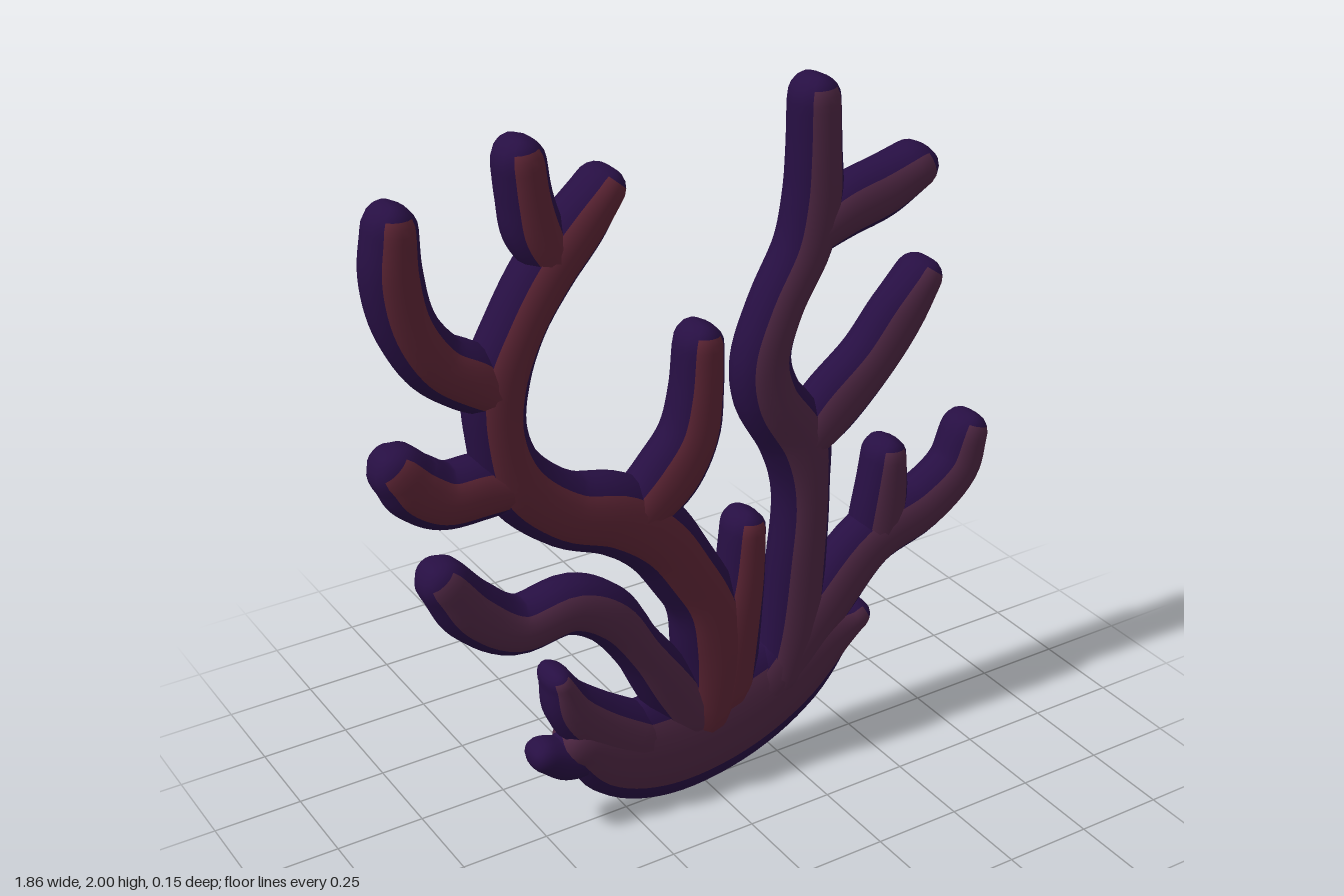
import * as THREE from 'three';

const paint = (name, color) => {
  const m = new THREE.MeshStandardMaterial({ color });
  m.name = name;
  return m;
};

// Half of the flattened cross-section: [across, depth] fractions
const QUARTER = [[1, 0], [0.93, 0.45], [0.64, 0.8], [0.35, 0.95], [0, 1]];
const SECTION = [];
for (let i = 0; i < 4; i++) SECTION.push(QUARTER[i]);
for (let i = 4; i > 0; i--) SECTION.push([-QUARTER[i][0], QUARTER[i][1]]);
for (let i = 0; i < 4; i++) SECTION.push([-QUARTER[i][0], -QUARTER[i][1]]);
for (let i = 4; i > 0; i--) SECTION.push([QUARTER[i][0], -QUARTER[i][1]]);
const SIDES = SECTION.length;
const isRim = (j) => Math.min(j % 8, 7 - (j % 8)) < 2;

// Sweeps the section along points [x, y, half width]; round caps at both ends.
// Group 0 is the broad face, group 1 the rim and the tip.
function branchGeometry(points, depth) {
  const curve = new THREE.CatmullRomCurve3(points.map((p) => new THREE.Vector3(...p)), false, 'centripetal');
  const steps = (points.length - 1) * 6;
  const rings = [];
  const addRing = (t, capAngle, direction) => {
    const p = curve.getPoint(t);
    const tan = curve.getTangent(t).setZ(0).normalize();
    const c = Math.max(0, Math.cos(capAngle));
    const push = Math.sin(capAngle) * p.z * direction;
    rings.push({
      x: p.x + tan.x * push, y: p.y + tan.y * push, nx: -tan.y, ny: tan.x,
      w: p.z * c, d: depth * Math.sqrt(c), tip: direction > 0 && capAngle > 0.4,
    });
  };
  const caps = [18, 36, 54, 72, 83, 90].map((a) => a * Math.PI / 180);
  [...caps].reverse().forEach((a) => addRing(0, a, -1));
  for (let i = 0; i <= steps; i++) addRing(i / steps, 0, 0);
  caps.forEach((a) => addRing(1, a, 1));

  const position = [];
  for (const r of rings) {
    for (const [u, v] of SECTION) position.push(r.x + r.nx * u * r.w, r.y + r.ny * u * r.w, v * r.d);
  }
  const face = [], rim = [];
  for (let i = 0; i < rings.length - 1; i++) {
    for (let j = 0; j < SIDES; j++) {
      const k = (j + 1) % SIDES;
      const a = i * SIDES + j, b = i * SIDES + k;
      const target = rings[i].tip || isRim(j) ? rim : face;
      target.push(a, b, a + SIDES, b, b + SIDES, a + SIDES);
    }
  }
  const g = new THREE.BufferGeometry();
  g.setAttribute('position', new THREE.Float32BufferAttribute(position, 3));
  g.setIndex([...face, ...rim]);
  g.addGroup(0, face.length, 0);
  g.addGroup(face.length, rim.length, 1);
  g.computeVertexNormals();
  return g;
}

export function createModel() {
  const red = paint('coralRed', 0x5c2434);
  const mauve = paint('coralMauve', 0x4d2642);
  const purple = paint('rimPurple', 0x270f43);
  const group = new THREE.Group();
  group.name = 'fanCoral';

  const add = (name, face, depth, points) => {
    const mesh = new THREE.Mesh(branchGeometry(points, depth), [face, purple]);
    mesh.name = name;
    group.add(mesh);
  };

  // Curved foot
  add('base', mauve, 0.068, [[-0.38, 0.27, 0.08], [-0.27, 0.2, 0.14], [-0.12, 0.17, 0.17],
    [0.08, 0.19, 0.17], [0.26, 0.26, 0.15], [0.4, 0.35, 0.1], [0.48, 0.385, 0.055]]);
  add('baseFrill', purple, 0.055, [[-0.36, 0.22, 0.06], [-0.43, 0.23, 0.06], [-0.495, 0.265, 0.048]]);

  // Trunk and the branches on its right-hand side
  add('trunk', red, 0.074, [[0, 0.25, 0.1], [0.02, 0.36, 0.11], [0.02, 0.48, 0.115], [-0.01, 0.6, 0.1],
    [-0.07, 0.71, 0.1], [-0.15, 0.83, 0.105], [-0.27, 0.93, 0.112], [-0.42, 0.99, 0.1],
    [-0.55, 1.11, 0.09], [-0.595, 1.25, 0.075], [-0.59, 1.39, 0.082], [-0.53, 1.53, 0.075],
    [-0.45, 1.65, 0.078], [-0.36, 1.75, 0.075], [-0.295, 1.825, 0.06]]);
  add('trunkNub', red, 0.07, [[0.06, 0.3, 0.1], [0.09, 0.48, 0.085], [0.115, 0.63, 0.068], [0.125, 0.77, 0.058]]);
  add('innerBranch', red, 0.072, [[-0.22, 0.91, 0.08], [-0.11, 1.0, 0.095], [-0.045, 1.1, 0.083],
    [-0.022, 1.22, 0.07], [-0.015, 1.345, 0.063]]);
  add('topBranch', red, 0.072, [[-0.43, 1.67, 0.06], [-0.475, 1.76, 0.072], [-0.495, 1.85, 0.065], [-0.505, 1.937, 0.062]]);
  add('outerUpperBranch', red, 0.072, [[-0.59, 1.36, 0.06], [-0.66, 1.42, 0.085], [-0.75, 1.485, 0.08],
    [-0.82, 1.6, 0.075], [-0.845, 1.73, 0.073], [-0.84, 1.84, 0.063]]);
  add('outerLowerBranch', red, 0.07, [[-0.55, 1.11, 0.07], [-0.65, 1.12, 0.085], [-0.75, 1.125, 0.085],
    [-0.82, 1.17, 0.085], [-0.86, 1.22, 0.073]]);

  // Low branches on the right-hand side
  add('lowBranch', mauve, 0.07, [[-0.05, 0.25, 0.09], [-0.13, 0.38, 0.085], [-0.21, 0.51, 0.07], [-0.3, 0.64, 0.08],
    [-0.41, 0.705, 0.08], [-0.57, 0.695, 0.078], [-0.69, 0.78, 0.082], [-0.76, 0.88, 0.068]]);
  add('shortBranch', mauve, 0.068, [[-0.22, 0.22, 0.1], [-0.34, 0.31, 0.09], [-0.42, 0.4, 0.07], [-0.455, 0.49, 0.04]]);

  // Left stem and its branches
  add('leftStem', mauve, 0.072, [[0.24, 0.28, 0.08], [0.28, 0.42, 0.09], [0.3, 0.62, 0.085], [0.31, 0.84, 0.08],
    [0.285, 1.0, 0.1], [0.195, 1.15, 0.09], [0.175, 1.26, 0.08], [0.22, 1.4, 0.075], [0.3, 1.55, 0.078],
    [0.327, 1.68, 0.078], [0.328, 1.8, 0.07], [0.325, 1.933, 0.065]]);
  add('leftStemArm', mauve, 0.07, [[0.31, 1.58, 0.07], [0.42, 1.625, 0.082], [0.54, 1.655, 0.082], [0.63, 1.69, 0.07]]);
  add('leftStemBranch', mauve, 0.07, [[0.3, 0.98, 0.07], [0.39, 1.06, 0.092], [0.52, 1.175, 0.085],
    [0.61, 1.285, 0.082], [0.672, 1.37, 0.062]]);
  add('leftLowBranch', mauve, 0.07, [[0.22, 0.27, 0.11], [0.38, 0.45, 0.1], [0.54, 0.61, 0.092],
    [0.72, 0.675, 0.088], [0.83, 0.76, 0.078], [0.862, 0.855, 0.064]]);
  add('leftLowNub', mauve, 0.068, [[0.56, 0.62, 0.08], [0.578, 0.73, 0.078], [0.586, 0.857, 0.06]]);

  return group;
}
